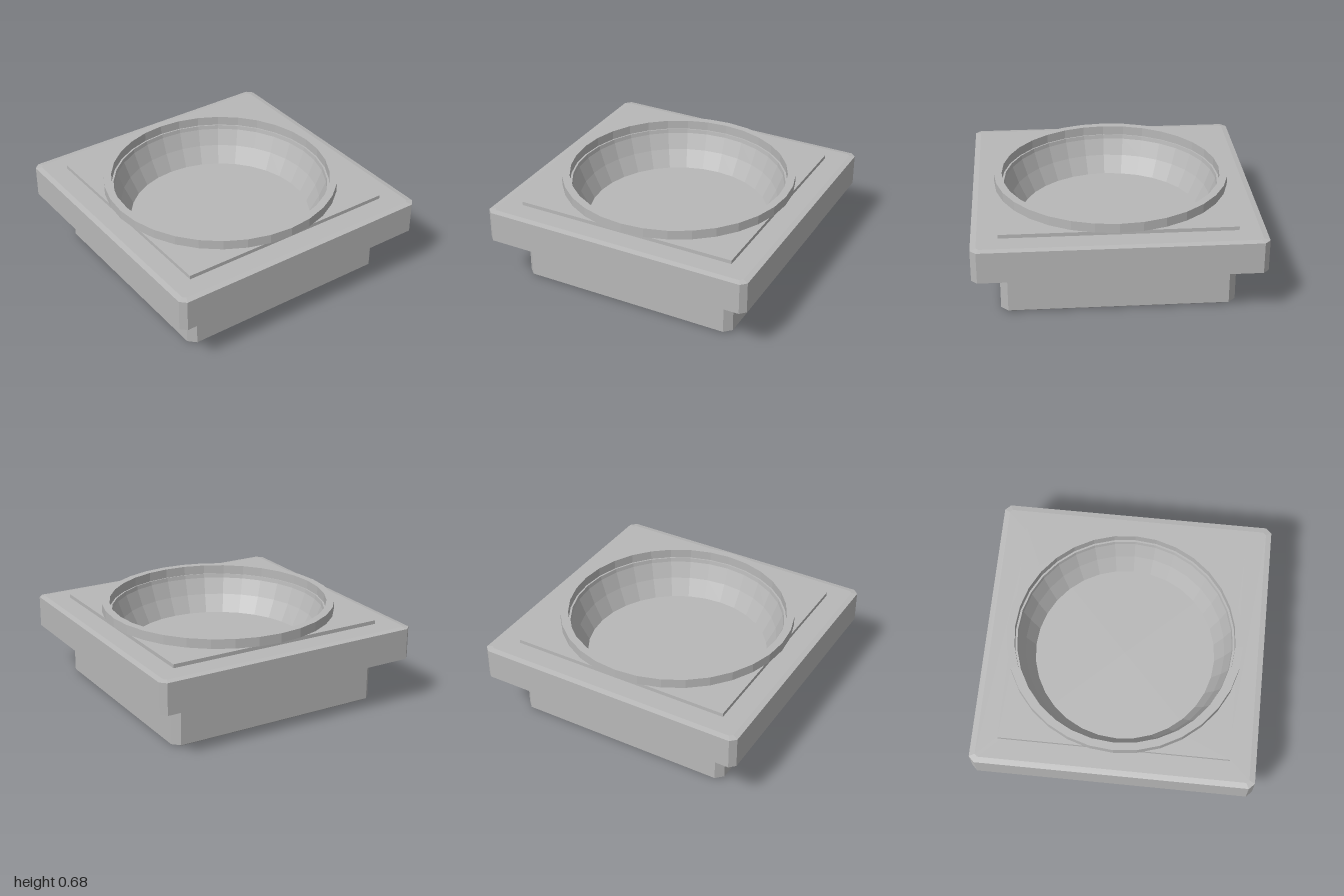
import * as THREE from 'three';

const SIDES = 32;

// Stacks chamfered-square sections [halfWidth, cornerChamfer, y] from bottom to top
function chamferedLoft(sections) {
  const rings = sections.map(([h, c, y]) => {
    const k = h - c;
    return [[h, k], [k, h], [-k, h], [-h, k], [-h, -k], [-k, -h], [k, -h], [h, -k]]
      .map(([x, z]) => [x, y, z]);
  });
  const pos = [];
  for (let s = 0; s < rings.length - 1; s++) {
    for (let i = 0; i < 8; i++) {
      const j = (i + 1) % 8;
      const a = rings[s][i], b = rings[s][j], c = rings[s + 1][j], d = rings[s + 1][i];
      pos.push(...a, ...d, ...c, ...a, ...c, ...b);
    }
  }
  const geo = new THREE.BufferGeometry();
  geo.setAttribute('position', new THREE.Float32BufferAttribute(pos, 3));
  geo.computeVertexNormals();
  return geo;
}

// Faceted solid of revolution with hard edges
function facetedLathe(points) {
  const geo = new THREE.LatheGeometry(points.map(([r, y]) => new THREE.Vector2(r, y)), SIDES).toNonIndexed();
  geo.computeVertexNormals();
  return geo;
}

export function createModel() {
  const group = new THREE.Group();
  const grey = new THREE.MeshStandardMaterial({ color: 0xb8b8b8 });
  grey.name = 'grey';

  const add = (name, geometry) => {
    const mesh = new THREE.Mesh(geometry, grey);
    mesh.name = name;
    group.add(mesh);
  };

  // Solid foot; its top is also the floor of the bowl
  add('base', chamferedLoft([
    [0, 0, 0], [0.77, 0.04, 0], [0.80, 0.05, 0.004], [0.815, 0.05, 0.015],
    [0.815, 0.05, 0.325], [0.80, 0.05, 0.33], [0, 0, 0.33],
  ]));

  // Wide slab with slightly bevelled edges, wrapped around the core
  add('slab', chamferedLoft([
    [0.8, 0.02, 0.34], [0.96, 0.02, 0.34], [1, 0.04, 0.347],
    [1, 0.04, 0.573], [0.96, 0.02, 0.58], [0.8, 0.02, 0.58],
  ]));

  // Sharp-cornered core with a round opening
  const h = 0.815;
  const square = new THREE.Shape([
    new THREE.Vector2(-h, -h), new THREE.Vector2(h, -h),
    new THREE.Vector2(h, h), new THREE.Vector2(-h, h),
  ]);
  const opening = Array.from({ length: SIDES }, (_, i) => {
    const a = -i / SIDES * Math.PI * 2;
    return new THREE.Vector2(0.775 * Math.cos(a), 0.775 * Math.sin(a));
  });
  square.holes.push(new THREE.Path(opening));
  const core = new THREE.ExtrudeGeometry(square, { depth: 0.277, bevelEnabled: false });
  core.rotateX(-Math.PI / 2).translate(0, 0.33, 0);
  add('core', core);

  // Tapering bowl wall, facing inwards
  add('bowl', facetedLathe([[0.775, 0.61], [0.77, 0.58], [0.725, 0.46], [0.66, 0.33]]));

  // Raised rim
  add('rim', facetedLathe([[0.79, 0.607], [0.845, 0.607], [0.845, 0.675], [0.79, 0.675], [0.79, 0.607]]));

  return group;
}
